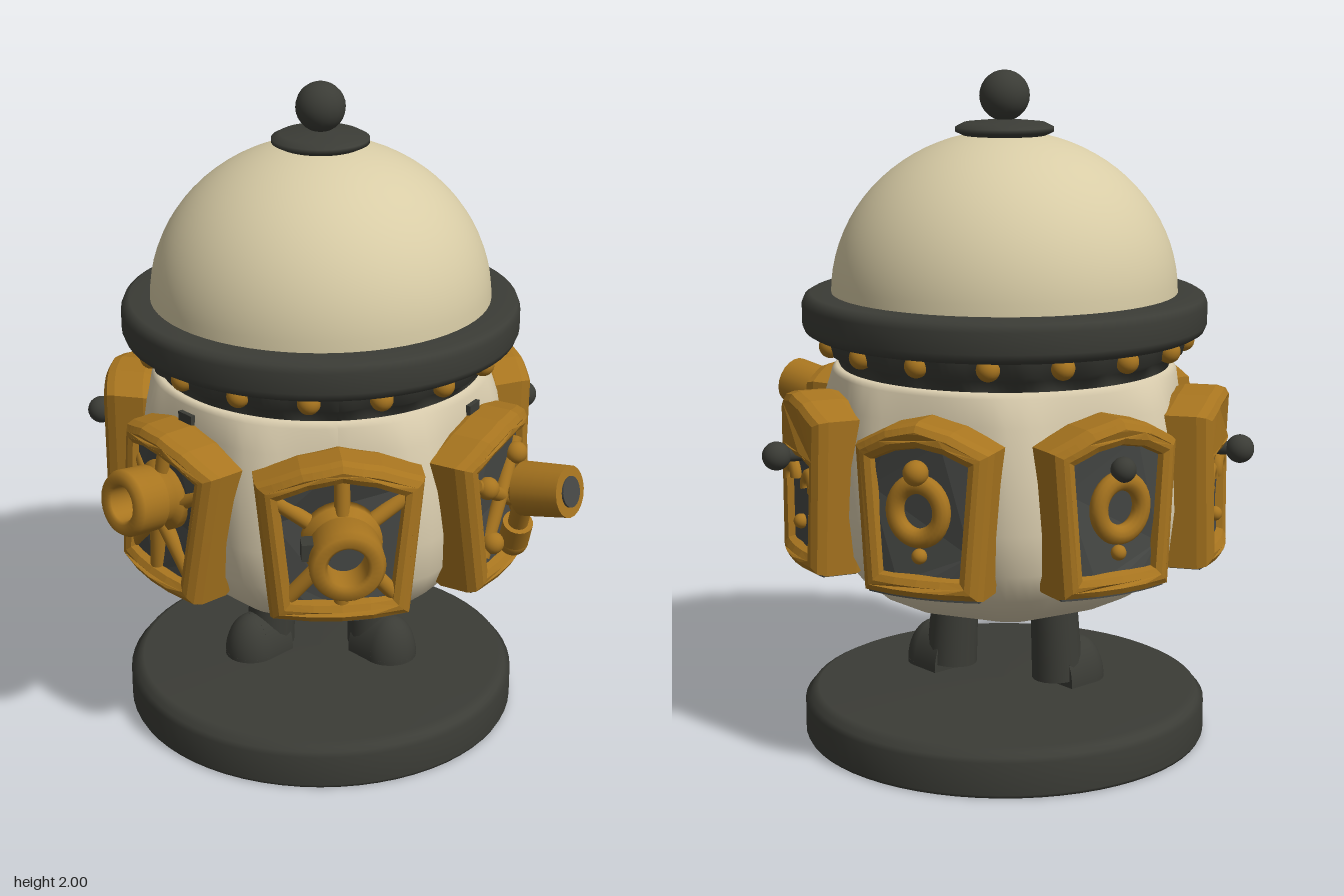
import * as THREE from 'three';

const V = (x, y, z) => new THREE.Vector3(x, y, z);
const P = pts => pts.map(p => new THREE.Vector2(p[0], p[1]));
const flat = color => new THREE.MeshStandardMaterial({ color });

export function createModel() {
  const shell = flat(0xd8cca6), cream = flat(0xdccfb0), dark = flat(0x3b3c36);
  const gold = flat(0xa8751f), grey = flat(0x464845);
  const model = new THREE.Group();
  const core = new THREE.Group();
  core.name = 'wholeFigure';
  core.position.z = -0.08;
  model.add(core);

  const add = (parent, name, geo, mat, x = 0, y = 0, z = 0) => {
    const m = new THREE.Mesh(geo, mat);
    m.name = name;
    m.position.set(x, y, z);
    parent.add(m);
    return m;
  };
  const lathe = (pts, seg = 64) => new THREE.LatheGeometry(P(pts), seg);
  const ball = (parent, name, r, mat, x, y, z) =>
    add(parent, name, new THREE.SphereGeometry(r, 20, 14), mat, x, y, z);
  const rod = (parent, name, a, b, r, mat, r2 = r) => {
    const d = b.clone().sub(a);
    const m = add(parent, name, new THREE.CylinderGeometry(r2, r, d.length(), 20), mat);
    m.position.copy(a).addScaledVector(d, 0.5);
    m.quaternion.setFromUnitVectors(V(0, 1, 0), d.normalize());
    return m;
  };

  // Stand
  add(core, 'standDisc', lathe([[0, 0], [0.605, 0], [0.61, 0.01], [0.61, 0.105], [0.595, 0.115],
    [0.59, 0.13], [0.57, 0.14], [0, 0.15]]), dark);

  // Legs with rounded boots turned outwards, one a step ahead of the other
  for (const [s, y, z, turn] of [[-1, 0.15, -0.04, -0.9], [1, 0.178, 0.05, 0.65]]) {
    rod(core, 'leg', V(s * 0.16, y + 0.015, z), V(s * 0.145, 0.45, z), 0.078, dark, 0.07);
    const boot = new THREE.Group();
    boot.name = 'boot';
    boot.position.set(s * 0.16, y, z);
    boot.rotation.y = turn;
    core.add(boot);
    const toe = add(boot, 'toe', new THREE.SphereGeometry(0.085, 24, 10, 0, Math.PI * 2, 0, Math.PI / 2),
      dark, 0, 0, 0.08);
    toe.scale.y = 1.5;
    add(boot, 'sole', new THREE.CylinderGeometry(0.085, 0.085, 0.012, 24), dark, 0, 0, 0.08);
    const instep = add(boot, 'instep', new THREE.CylinderGeometry(0.085, 0.085, 0.1, 24, 1, false,
      Math.PI / 2, Math.PI).rotateX(Math.PI / 2), dark, 0, 0, 0.03);
    instep.scale.y = 1.5;
    add(boot, 'heel', new THREE.BoxGeometry(0.168, 0.012, 0.1), dark, 0, 0, 0.03);
  }

  // Body: round at the top, flattened to seven sides lower down
  const body = lathe([[0, 0.41], [0.25, 0.41], [0.33, 0.43], [0.43, 0.48], [0.51, 0.545], [0.555, 0.63],
    [0.57, 0.75], [0.565, 0.9], [0.54, 1.05], [0.515, 1.125], [0.5, 1.14], [0.4, 1.145]], 98);
  const bp = body.attributes.position, step = Math.PI * 2 / 7;
  for (let i = 0; i < bp.count; i++) {
    const a = Math.atan2(bp.getX(i), bp.getZ(i));
    const off = a - Math.round(a / step) * step;
    const w = THREE.MathUtils.clamp((1.14 - bp.getY(i)) / 0.15, 0, 1);
    const f = 1 + w * (Math.min(1, 0.935 / Math.cos(off)) - 1);
    bp.setX(i, bp.getX(i) * f);
    bp.setZ(i, bp.getZ(i) * f);
  }
  body.computeVertexNormals();
  add(core, 'body', body, cream);

  // Scalloped neck with half-sunk studs, collar, dome and finial
  const neck = lathe([[0.48, 1.13], [0.49, 1.14], [0.495, 1.17], [0.53, 1.19], [0.545, 1.25]], 160);
  const np = neck.attributes.position;
  for (let i = 0; i < np.count; i++) {
    const f = 1 + (np.getY(i) > 1.16 ? 0.02 : 0) * Math.cos(16 * Math.atan2(np.getX(i), np.getZ(i)));
    np.setX(i, np.getX(i) * f);
    np.setZ(i, np.getZ(i) * f);
  }
  neck.computeVertexNormals();
  add(core, 'neck', neck, dark);
  for (let i = 0; i < 16; i++) {
    const a = (i + 0.6) * Math.PI / 8;
    ball(core, 'neckStud', 0.034, gold, Math.sin(a) * 0.53, 1.212, Math.cos(a) * 0.53);
  }
  add(core, 'collar', lathe([[0.48, 1.235], [0.575, 1.235], [0.592, 1.245], [0.6, 1.265], [0.6, 1.325],
    [0.592, 1.345], [0.575, 1.355], [0.5, 1.355]]), dark);
  const arc = [];
  for (let i = 0; i <= 20; i++) {
    const t = i / 20 * Math.PI / 2;
    arc.push([Math.max(0, 0.513 * Math.cos(t)), 1.35 + 0.475 * Math.sin(t)]);
  }
  add(core, 'dome', lathe(arc), shell);
  add(core, 'finialDisc', lathe([[0, 1.8], [0.12, 1.81], [0.145, 1.822], [0.145, 1.835], [0.12, 1.848],
    [0, 1.86]], 40), dark);
  ball(core, 'finialBall', 0.074, dark, 0, 1.926, 0);

  // House-shaped outline, each edge subdivided so that it can be bent
  const outline = (w, wb, sh, top, bot) => {
    const c = P([[-wb, bot], [wb, bot], [w, sh], [w * 0.5, (sh + top) / 2 + 0.012], [0, top],
      [-w * 0.5, (sh + top) / 2 + 0.012], [-w, sh]]);
    return c.flatMap((p, i) => [0, 0.25, 0.5, 0.75].map(t => p.clone().lerp(c[(i + 1) % c.length], t)));
  };
  const curve = geo => {
    const p = geo.attributes.position;
    for (let i = 0; i < p.count; i++) p.setZ(i, p.getZ(i) - 0.95 * p.getX(i) ** 2);
    geo.computeVertexNormals();
    return geo;
  };
  // Bent gold frame around a grey panel, with a grey underside; lift moves it outwards
  const plate = (name, deg, w, wb, sh, top, holeTop, roll, lift) => {
    const holder = new THREE.Group();
    holder.name = name;
    holder.rotation.y = deg * Math.PI / 180;
    core.add(holder);
    const g = new THREE.Group();
    g.name = name + 'Face';
    g.position.set(0, 0.83, 0.53 + lift);
    g.rotation.z = roll;
    holder.add(g);
    const frame = new THREE.Shape(outline(w - 0.025, wb - 0.025, sh - 0.015, top - 0.025, -0.225));
    frame.holes.push(new THREE.Path(outline(w - 0.04, wb - 0.04, Math.min(sh - 0.025, holeTop - 0.02),
      holeTop, -0.21).reverse()));
    add(g, 'plateFrame', curve(new THREE.ExtrudeGeometry(frame, { depth: 0.09, bevelEnabled: true,
      bevelSize: 0.025, bevelThickness: 0.035, bevelSegments: 2 })), gold);
    add(g, 'platePanel', curve(new THREE.ExtrudeGeometry(
      new THREE.Shape(outline(w - 0.04, wb - 0.04, sh - 0.03, top - 0.045, -0.21)),
      { depth: 0.125, bevelEnabled: false })), grey, 0, 0, -0.03);
    add(g, 'plateUnderside', curve(new THREE.BoxGeometry(wb * 2 - 0.02, 0.008, 0.1, 8, 1, 1)
      .translate(0, 0, 0.045)), grey, 0, -0.25, 0);
    return g;
  };
  const barrel = (g, y, tilt, size) => {
    const b = add(g, 'barrel', lathe([[0.0, 0.07], [0.12, 0.07], [0.12, 0.11], [0.095, 0.12], [0.095, 0.15],
      [0.11, 0.16], [0.112, 0.26], [0.1, 0.28], [0.07, 0.28], [0.06, 0.27], [0.06, 0.15]], 32), gold, 0, y, 0);
    b.rotation.x = Math.PI / 2 - tilt;
    b.scale.setScalar(size);
    add(b, 'bore', new THREE.CylinderGeometry(0.062, 0.062, 0.02, 24), grey, 0, 0.16, 0);
  };
  const spokes = (g, s) => {
    for (const [x, y] of [[-0.19, 0.12], [0, 0.2], [0.19, 0.12], [0.15, -0.18], [-0.15, -0.18], [0, -0.2]])
      rod(g, 'spoke', V(0, 0, 0.105), V(x * s, y, 0.09 - x * x), 0.023, gold);
  };

  // Front plate with its large barrel
  const front = plate('frontPlate', 0, 0.242, 0.205, 0.165, 0.25, 0.21, 0, 0.01);
  spokes(front, 1);
  barrel(front, 0, 0, 0.96);
  add(front, 'barrelCatch', new THREE.BoxGeometry(0.08, 0.05, 0.06), dark, -0.085, 0.03, 0.19);

  // Front right plate with a raised barrel
  const fr = plate('frontRightPlate', -54, 0.205, 0.178, 0.19, 0.25, 0.205, -0.13, 0);
  spokes(fr, 0.85);
  barrel(fr, 0.04, 0.1, 0.88);

  // Front left plate with a jointed arm
  const fl = plate('frontLeftPlate', 54, 0.205, 0.178, 0.19, 0.25, 0.205, 0.13, 0);
  for (const [x, y] of [[-0.1, 0.08], [0.09, 0.1], [0.1, -0.08], [-0.08, -0.12]]) {
    ball(fl, 'plateKnob', 0.034, gold, x, y, 0.1);
    rod(fl, 'plateStrut', V(0, 0, 0.09), V(x * 1.4, y * 1.3, 0.08), 0.022, gold);
  }
  const low = V(0.54, 0.69, 0.39), elbow = V(0.55, 0.89, 0.49), hand = V(0.555, 0.95, 0.57);
  rod(core, 'armRod', low, elbow, 0.03, gold);
  rod(core, 'armSleeve', low.clone().lerp(elbow, 0.05), low.clone().lerp(elbow, 0.4), 0.045, gold);
  ball(core, 'armJoint', 0.045, gold, low.x, low.y, low.z);
  ball(core, 'armElbow', 0.05, gold, elbow.x, elbow.y, elbow.z);
  rod(core, 'armWrist', elbow, hand, 0.035, dark);
  rod(core, 'armCup', V(0.535, 0.935, 0.55), V(0.645, 0.965, 0.65), 0.08, gold, 0.075);
  rod(core, 'armBore', V(0.64, 0.963, 0.645), V(0.649, 0.966, 0.653), 0.045, grey);

  for (const s of [-1, 1]) {
    // Small bracket above each front side plate
    const br = add(core, 'bracket', new THREE.BoxGeometry(0.06, 0.04, 0.04), dark, s * 0.41, 1.085, 0.3);
    br.rotation.y = s * 0.94;

    // Side plates: solid upper half, knob and curled hooks
    const side = plate('sidePlate', s * 108, 0.175, 0.155, 0.205, 0.265, 0.1, 0, 0.015);
    rod(side, 'knobStem', V(0, 0.08, 0.08), V(0, 0.08, 0.16), 0.02, dark);
    ball(side, 'sideKnob', 0.042, dark, 0, 0.08, 0.165);
    for (const k of [-1, 1]) {
      const hook = add(side, 'hook', new THREE.TorusGeometry(0.035, 0.02, 10, 20, Math.PI * 1.2), gold,
        k * 0.085, 0, 0.09);
      hook.rotation.z = k > 0 ? -0.3 : 0;
    }
    ball(side, 'sidePin', 0.022, gold, 0, -0.12, 0.095);

    // Back plates: ring with pins above and below
    const back = plate('backPlate', s * 154, 0.205, 0.178, 0.17, 0.25, 0.2, 0, 0.005);
    const ring = add(back, 'backRing', new THREE.TorusGeometry(0.07, 0.026, 12, 32), gold, 0, 0, 0.1);
    ring.scale.y = 1.1;
    ball(back, 'backKnob', 0.036, s < 0 ? dark : gold, 0, 0.11, 0.115);
    ball(back, 'backPin', 0.022, gold, 0, -0.13, 0.095);
  }
  return model;
}
